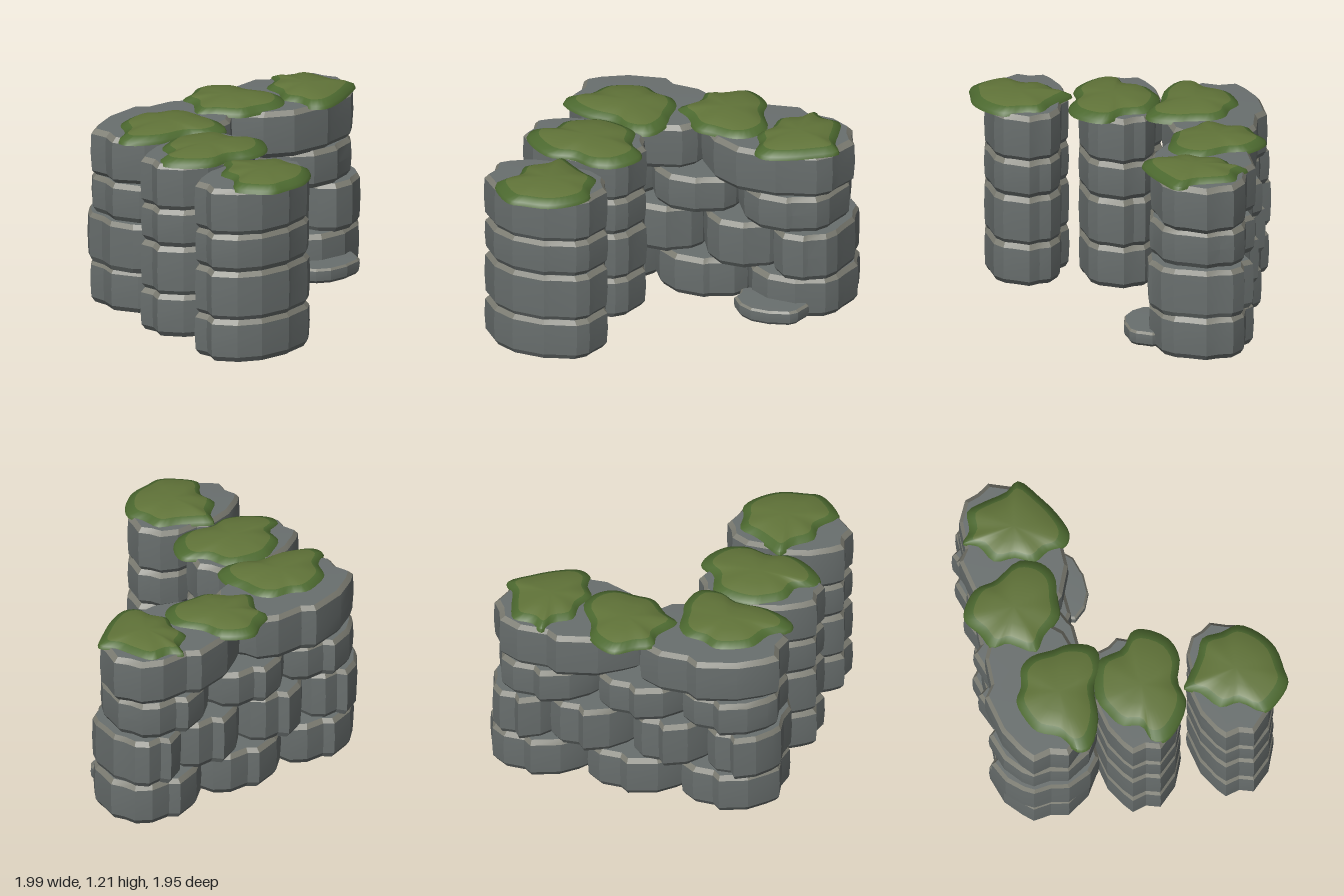
import * as THREE from 'three';
import { toCreasedNormals } from 'three/addons/utils/BufferGeometryUtils.js';

const mat = (color) => new THREE.MeshStandardMaterial({ color });

// small seeded generator for the chipped corners
function seeded(seed) {
  let s = seed * 7919 + 17;
  return () => {
    s = (s * 16807) % 2147483647;
    return s / 2147483647;
  };
}

// skins a clockwise outline through levels [scale, y]; bands[i] is the material of band i
function loft(outline, cx, cz, levels, bands, crease) {
  const n = outline.length, pos = [], idx = [];
  const geo = new THREE.BufferGeometry();
  for (const [s, y] of levels)
    for (const [x, z] of outline) pos.push(cx + (x - cx) * s, y, cz + (z - cz) * s);
  for (let r = 0; r < levels.length - 1; r++) {
    const start = idx.length;
    for (let i = 0; i < n; i++) {
      const j = (i + 1) % n;
      const a0 = r * n + i, a1 = r * n + j, b0 = a0 + n, b1 = a1 + n;
      if (levels[r][0] > 0) idx.push(a1, a0, b0);
      if (levels[r + 1][0] > 0) idx.push(a1, b0, b1);
    }
    geo.addGroup(start, idx.length - start, bands[r]);
  }
  geo.setAttribute('position', new THREE.Float32BufferAttribute(pos, 3));
  geo.setIndex(idx);
  return toCreasedNormals(geo, crease);
}

// unit plan of every stone: broad front face, chamfered right corner, chipped notches
const PLAN = [
  [-0.98, -0.33], [-0.84, -0.52], [-0.52, -0.81], [0, -1], [0.16, -0.85], [0.55, -0.86],
  [0.82, -0.68], [0.88, -0.42], [1, -0.2], [0.91, 0.2], [0.88, 0.42], [0.73, 0.66],
  [0.33, 0.86], [0.24, 0.93], [-0.3, 0.97], [-0.68, 0.76], [-0.98, 0.33], [-0.92, 0],
];

// courses: [bottom, top]
const COURSES = [[0, 0.285], [0.275, 0.605], [0.6, 0.855], [0.845, 1.16]];

// wall stones per course: [centre x, half width]
const WALL = [
  [[-0.6, 0.34], [0.01, 0.36], [0.65, 0.35]],
  [[-0.7, 0.25], [-0.23, 0.28], [0.3, 0.3], [0.73, 0.25]],
  [[-0.6, 0.33], [-0.04, 0.33], [0.59, 0.35]],
  [[-0.45, 0.49], [0.48, 0.5]],
];

// moss outlines, clockwise from the back
const MOSS = [
  [[-0.52, -0.76], [-0.42, -0.71], [-0.3, -0.69], [-0.23, -0.61], [-0.21, -0.46], [-0.19, -0.36],
    [-0.24, -0.2], [-0.38, -0.18], [-0.5, -0.25], [-0.72, -0.26], [-0.91, -0.35], [-0.92, -0.43],
    [-0.81, -0.52], [-0.75, -0.66], [-0.66, -0.72]],
  [[0.08, -0.98], [0.17, -0.96], [0.28, -0.87], [0.31, -0.75], [0.42, -0.57], [0.38, -0.43],
    [0.28, -0.36], [0.12, -0.37], [0, -0.38], [-0.12, -0.5], [-0.22, -0.57], [-0.13, -0.74],
    [-0.14, -0.84], [-0.03, -0.9]],
  [[0.59, -0.9], [0.67, -0.85], [0.8, -0.84], [0.85, -0.72], [0.89, -0.57], [0.95, -0.48],
    [0.83, -0.37], [0.68, -0.27], [0.54, -0.22], [0.46, -0.26], [0.44, -0.37], [0.38, -0.47],
    [0.43, -0.59], [0.43, -0.73], [0.55, -0.81]],
  [[-0.61, -0.25], [-0.45, -0.24], [-0.33, -0.19], [-0.28, -0.03], [-0.18, 0.05], [-0.17, 0.12],
    [-0.26, 0.27], [-0.4, 0.32], [-0.56, 0.28], [-0.7, 0.31], [-0.85, 0.24], [-0.95, 0.13],
    [-0.94, 0.05], [-0.83, 0], [-0.8, -0.13], [-0.69, -0.21]],
  [[-0.62, 0.31], [-0.53, 0.36], [-0.41, 0.43], [-0.3, 0.48], [-0.28, 0.61], [-0.25, 0.72],
    [-0.32, 0.84], [-0.44, 0.93], [-0.6, 0.96], [-0.69, 0.97], [-0.8, 0.89], [-0.87, 0.78],
    [-0.78, 0.64], [-0.79, 0.51], [-0.67, 0.4]],
];

export function createModel() {
  const model = new THREE.Group();
  const stoneMats = [mat(0x696f6e), mat(0x7c7c72)];
  const mossMats = [mat(0x4d6a30), mat(0x617439)];
  let seed = 1;

  function addStone(name, cx, cz, hx, hz, y0, y1) {
    const rand = seeded(seed++);
    const outline = PLAN.map(([u, v]) => {
      const k = 1.01 - 0.02 * rand();
      return [cx + u * hx * k, cz + v * hz * k];
    });
    const e = Math.min(0.035, (y1 - y0) * 0.18);
    const levels = [[0, y0], [0.91, y0], [0.98, y0 + e], [1, (y0 + y1) / 2], [0.99, y1 - e], [0.92, y1 - 0.004], [0, y1]];
    const mesh = new THREE.Mesh(loft(outline, cx, cz, levels, [0, 0, 0, 0, 1, 0], 0.3), stoneMats);
    mesh.name = name;
    model.add(mesh);
  }

  // back wall in staggered courses, plus the two free-standing pillars
  COURSES.forEach(([y0, y1], c) => {
    WALL[c].forEach(([x, hx], i) => addStone(`wallStone${c + 1}_${i + 1}`, x, -0.6, hx, 0.345, y0, y1));
    addStone(`middlePillarStone${c + 1}`, -0.595, 0.005, 0.4, 0.275, y0, y1);
    addStone(`frontPillarStone${c + 1}`, -0.595, 0.605, 0.4, 0.275, y0, y1);
  });

  // fallen slab in front of the wall
  addStone('fallenSlab', 0.575, -0.275, 0.245, 0.175, 0.015, 0.115);

  // domed moss patches with a darker drooping rim
  MOSS.forEach((pts, i) => {
    const curve = new THREE.CatmullRomCurve3(pts.map(([x, z]) => new THREE.Vector3(x, 0, z)), true);
    const outline = curve.getPoints(45).slice(0, -1).map((p) => [p.x, p.z]);
    const cx = pts.reduce((s, p) => s + p[0], 0) / pts.length;
    const cz = pts.reduce((s, p) => s + p[1], 0) / pts.length;
    const levels = [[0, 1.14], [1, 1.14], [0.97, 1.162], [0.8, 1.188], [0.45, 1.206], [0, 1.212]];
    const mesh = new THREE.Mesh(loft(outline, cx, cz, levels, [0, 0, 0, 1, 1], 0.9), mossMats);
    mesh.name = `mossPatch${i + 1}`;
    model.add(mesh);
  });

  return model;
}
